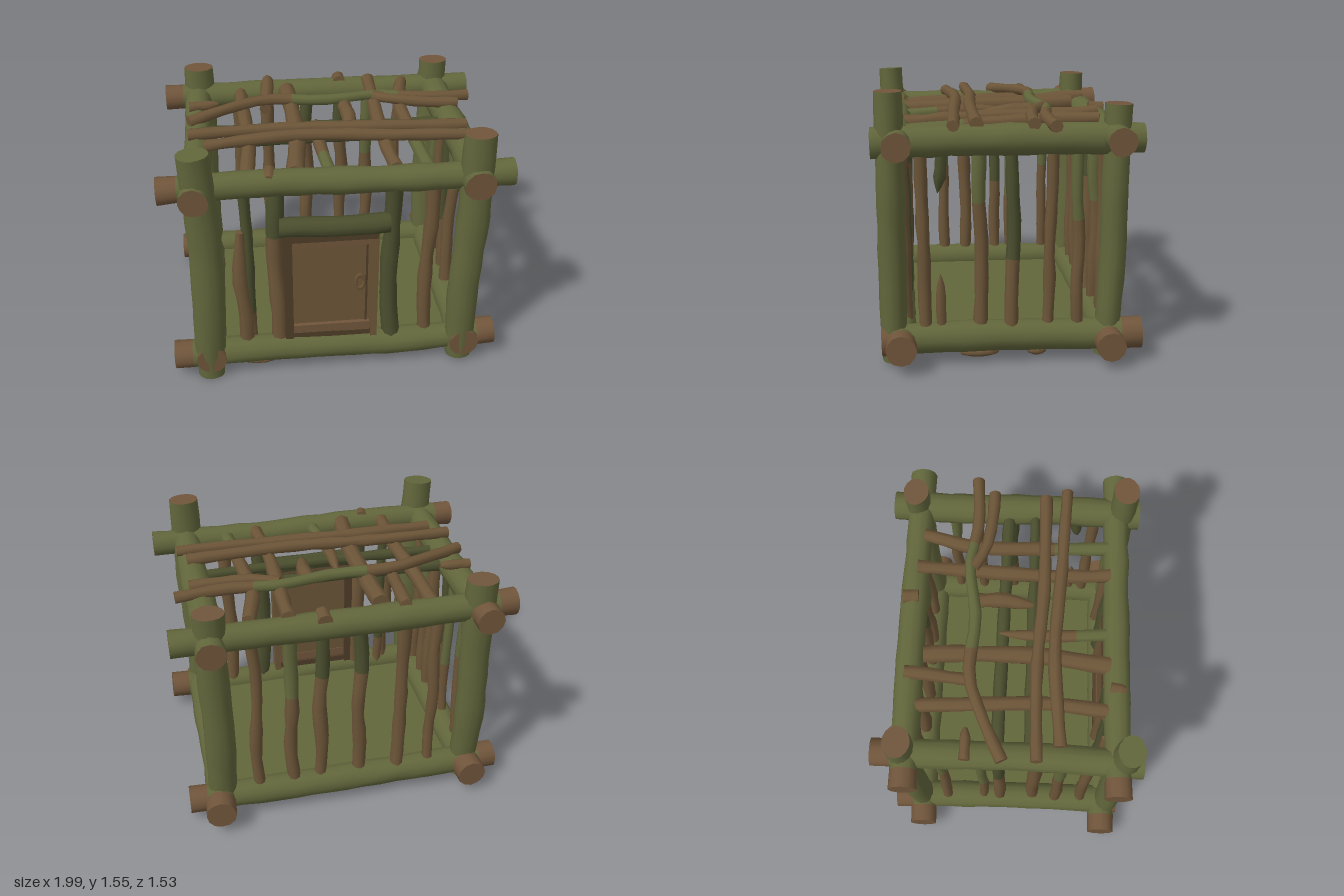
import * as THREE from 'three';

const paint = (name, color) => Object.assign(new THREE.MeshStandardMaterial({ color }), { name });

export function createModel() {
  const root = new THREE.Group();
  root.name = 'logCage';
  const green = paint('mossyBark', 0x62663b);
  const dark = paint('darkMoss', 0x4b4f2e);
  const brown = paint('bareWood', 0x6c5538);
  const cut = paint('cutWood', 0x70553b);
  const shade = paint('darkWood', 0x4f3d28);

  let seed = 7;
  const rnd = () => {
    seed = (seed * 16807) % 2147483647;
    return seed / 2147483647 - 0.5;
  };

  // A knobbly round stick along a curve. It changes from material a to b at the fraction "split";
  // "bare" counts the segments stripped of bark at its start and end; "flat" narrows it in z;
  // "startCap" picks which of the three materials closes its start.
  function stick(name, points, r, o = {}) {
    const { a = green, b = a, split = 1, cap = cut, sides = 10, rough = 0.12, tip = 1, tail = 1,
      bare = [0, 0], flat = 1, startCap = 2 } = o;
    const curve = new THREE.CatmullRomCurve3(points.map((p) => new THREE.Vector3(...p)));
    const n = Math.max(6, Math.round(curve.getLength() / 0.11));
    const frames = curve.computeFrenetFrames(n);
    const pos = [], lists = [[], [], []];
    const ring = (i, radii) => {
      const c = curve.getPointAt(i / n);
      for (let j = 0; j < sides; j++) {
        const t = (j / sides) * Math.PI * 2;
        const p = c.clone()
          .addScaledVector(frames.normals[i], Math.cos(t) * radii[j])
          .addScaledVector(frames.binormals[i], Math.sin(t) * radii[j]);
        pos.push(p.x, p.y, c.z + (p.z - c.z) * flat);
      }
      return c;
    };
    let first, last;
    for (let i = 0; i <= n; i++) {
      const u = i / n;
      const ends = Math.min(1, tail + u * 4 * (1 - tail)) * Math.min(1, tip + (1 - u) * 4 * (1 - tip));
      const swell = 1 + rnd() * rough;
      const radii = Array.from({ length: sides }, () => r * ends * (swell + rnd() * rough * 0.7));
      if (i === 0) first = radii;
      last = radii;
      ring(i, radii);
    }
    for (let i = 0; i < n; i++) {
      const stripped = i < bare[0] || i >= n - bare[1];
      const list = lists[stripped ? 2 : (i + 0.5) / n < split ? 0 : 1];
      for (let j = 0; j < sides; j++) {
        const k = (j + 1) % sides, p = i * sides, q = p + sides;
        list.push(p + j, p + k, q + j, p + k, q + k, q + j);
      }
    }
    // Cut ends keep their own vertices so the rim stays sharp
    [[0, first, lists[startCap]], [n, last, lists[2]]].forEach(([i, radii, list]) => {
      const s = pos.length / 3;
      const c = ring(i, radii);
      pos.push(c.x, c.y, c.z);
      for (let j = 0; j < sides; j++) {
        const k = (j + 1) % sides;
        list.push(s + sides, s + (i ? j : k), s + (i ? k : j));
      }
    });
    const g = new THREE.BufferGeometry();
    g.setAttribute('position', new THREE.Float32BufferAttribute(pos, 3));
    g.setIndex(lists.flat());
    let start = 0;
    lists.forEach((l, m) => {
      g.addGroup(start, l.length, m);
      start += l.length;
    });
    g.computeVertexNormals();
    const mesh = new THREE.Mesh(g, [a, b, cap]);
    mesh.name = name;
    root.add(mesh);
  }

  function box(name, w, h, d, x, y, z, mat) {
    const m = new THREE.Mesh(new THREE.BoxGeometry(w, h, d), mat);
    m.position.set(x, y, z);
    m.name = name;
    root.add(m);
  }

  // Corner posts, wider than deep
  const post = { sides: 14, rough: 0.08, flat: 0.84, tail: 0.88, startCap: 0 };
  stick('frontLeftPost', [[0.755, 0.03, 0.65], [0.75, 0.5, 0.65], [0.77, 1, 0.65], [0.77, 1.56, 0.65]], 0.094, post);
  stick('frontRightPost', [[-0.78, 0.01, 0.65], [-0.765, 0.5, 0.66], [-0.76, 1, 0.65], [-0.79, 1.53, 0.67]], 0.094, { ...post, cap: green });
  stick('backLeftPost', [[0.77, 0.03, -0.56], [0.76, 0.6, -0.59], [0.77, 1, -0.59], [0.77, 1.48, -0.6]], 0.088, post);
  stick('backRightPost', [[-0.77, 0.05, -0.56], [-0.78, 0.6, -0.59], [-0.77, 1, -0.59], [-0.77, 1.49, -0.6]], 0.092, post);

  // Long beams across the front and back
  const beam = { sides: 12, rough: 0.09 };
  const bothBare = { ...beam, bare: [1, 1] };
  stick('topFrontBeam', [[-1, 1.29, 0.62], [-0.4, 1.3, 0.61], [0.3, 1.285, 0.61], [0.99, 1.29, 0.61]], 0.077, { ...beam, bare: [1, 0] });
  stick('topBackBeam', [[-0.99, 1.3, -0.57], [-0.3, 1.3, -0.58], [0.4, 1.3, -0.58], [0.99, 1.3, -0.58]], 0.08, { ...beam, bare: [1, 0] });
  stick('bottomFrontBeam', [[-0.99, 0.14, 0.62], [-0.4, 0.15, 0.62], [0.4, 0.13, 0.61], [0.97, 0.16, 0.61]], 0.083, bothBare);
  stick('bottomBackBeam', [[-0.97, 0.14, -0.56], [-0.3, 0.14, -0.57], [0.4, 0.14, -0.57], [0.97, 0.14, -0.56]], 0.083, bothBare);

  // Side beams
  stick('topLeftBeam', [[0.77, 1.28, 0.75], [0.78, 1.29, 0.2], [0.77, 1.29, -0.3], [0.78, 1.29, -0.74]], 0.088, beam);
  stick('topRightBeam', [[-0.8, 1.28, 0.76], [-0.78, 1.29, 0.2], [-0.78, 1.29, -0.3], [-0.78, 1.3, -0.76]], 0.083, { ...beam, bare: [0, 1] });
  stick('bottomLeftBeam', [[0.77, 0.15, 0.72], [0.77, 0.16, 0.2], [0.77, 0.15, -0.4], [0.8, 0.16, -0.76]], 0.088, bothBare);
  stick('bottomRightBeam', [[-0.77, 0.15, 0.72], [-0.77, 0.16, 0.2], [-0.77, 0.15, -0.4], [-0.78, 0.15, -0.74]], 0.088, bothBare);

  // Floor
  box('floor', 1.46, 0.04, 1.14, 0, 0.12, 0.02, green);

  // Upright bars: x, z, radius, bottom material, top material, split height
  const bars = {
    frontBar: [[-0.36, 0.59, 0.05, brown, dark, 0.72], [0.32, 0.6, 0.052, dark, dark, 1], [0.54, 0.59, 0.042, brown, brown, 1],
      [-0.52, 0.57, 0.034, brown, dark, 0.25]],
    backBar: [[-0.53, -0.57, 0.035, brown, brown, 1], [-0.34, -0.57, 0.04, brown, brown, 1], [-0.08, -0.57, 0.04, brown, dark, 0.75],
      [0.15, -0.57, 0.04, brown, dark, 0.75], [0.33, -0.57, 0.04, brown, green, 0.6], [0.54, -0.57, 0.036, brown, brown, 1]],
    leftBar: [[0.77, 0.48, 0.036, brown, brown, 1], [0.77, 0.16, 0.04, brown, green, 0.72], [0.77, -0.02, 0.038, brown, dark, 0.4],
      [0.77, -0.23, 0.034, brown, brown, 1], [0.77, -0.39, 0.034, brown, green, 0.62]],
    rightBar: [[-0.77, 0.48, 0.036, brown, brown, 1], [-0.77, 0.31, 0.038, brown, green, 0.62], [-0.77, 0.16, 0.04, brown, brown, 1],
      [-0.77, -0.05, 0.036, brown, dark, 0.5], [-0.77, -0.16, 0.03, brown, green, 0.45], [-0.77, -0.39, 0.035, brown, green, 0.6]],
  };
  for (const [name, list] of Object.entries(bars)) {
    for (const [x, z, r, a, b, split] of list) {
      const pts = [0.16, 0.45, 0.72, 0.98, 1.28].map((y) => [x + rnd() * 0.03, y, z + rnd() * 0.022]);
      stick(name, pts, r, { a, b, split, sides: 8, rough: 0.2 });
    }
  }

  // Broken bars
  const broken = { a: brown, sides: 7, rough: 0.2 };
  stick('brokenFrontBar', [[-0.55, 0.16, 0.6], [-0.55, 0.4, 0.61], [-0.575, 0.65, 0.6], [-0.56, 0.97, 0.58]], 0.042, { ...broken, tip: 0.6 });
  stick('brokenLowerBar', [[0.77, 0.18, 0.38], [0.77, 0.36, 0.385], [0.77, 0.53, 0.385]], 0.03, { ...broken, tip: 0.1 });
  stick('brokenUpperBar', [[0.77, 1, 0.395], [0.77, 1.1, 0.38], [0.77, 1.27, 0.37]], 0.034, { ...broken, a: dark, tail: 0.1 });

  // Lower roof sticks running front to back
  const roof = { a: brown, cap: brown, sides: 8, rough: 0.2 };
  stick('roofStick', [[-0.51, 1.32, -0.57], [-0.5, 1.34, -0.2], [-0.48, 1.34, 0.2], [-0.51, 1.32, 0.57]], 0.042, roof);
  stick('roofStick', [[-0.33, 1.38, -0.6], [-0.34, 1.37, -0.45], [-0.36, 1.35, -0.22]], 0.038, roof);
  stick('roofStick', [[-0.21, 1.35, -0.5], [-0.2, 1.35, -0.2], [-0.2, 1.34, 0.2], [-0.24, 1.32, 0.57]], 0.05, roof);
  stick('roofStick', [[-0.06, 1.33, -0.07], [-0.07, 1.33, 0.2], [-0.04, 1.31, 0.59]], 0.036, { ...roof, b: green, split: 0.75, tail: 0.3 });
  stick('roofStick', [[0.13, 1.36, -0.2], [0.14, 1.35, -0.05], [0.12, 1.33, 0.12]], 0.045, { ...roof, tip: 0.4 });
  stick('roofStick', [[0.33, 1.37, -0.57], [0.32, 1.35, -0.2], [0.31, 1.34, 0.2], [0.33, 1.32, 0.57]], 0.042, roof);
  stick('roofStick', [[0.55, 1.36, -0.54], [0.48, 1.35, -0.25], [0.49, 1.33, 0.1], [0.52, 1.3, 0.57]], 0.042, { ...roof, b: green, split: 0.72 });
  stick('roofStub', [[0.14, 1.36, -0.64], [0.14, 1.365, -0.55]], 0.043, { ...roof, rough: 0.05 });
  stick('roofStub', [[-0.38, 1.355, 0.57], [-0.39, 1.35, 0.66]], 0.035, { ...roof, rough: 0.05, tip: 0.6 });

  // Upper roof sticks running side to side
  stick('crossStick', [[-0.83, 1.38, -0.03], [-0.6, 1.4, -0.14], [-0.35, 1.41, -0.23], [0, 1.4, -0.21], [0.35, 1.4, -0.26], [0.6, 1.39, -0.22], [0.92, 1.38, -0.235]], 0.034,
    { ...roof, b: green, split: 0.4, bare: [0, 4] });
  stick('crossFork', [[0.32, 1.4, -0.24], [0.45, 1.4, -0.17], [0.62, 1.39, -0.14], [0.83, 1.38, -0.13]], 0.034, roof);
  stick('crossStub', [[-0.83, 1.38, -0.235], [-0.65, 1.39, -0.235]], 0.032, { ...roof, tip: 0.4 });
  stick('crossStick', [[-0.72, 1.29, -0.06], [0, 1.3, -0.05], [0.72, 1.29, -0.04]], 0.036, { ...roof, a: dark });
  stick('crossStick', [[-0.72, 1.3, 0.12], [0, 1.31, 0.12], [0.72, 1.3, 0.12]], 0.032, { ...roof, a: dark });
  stick('crossStick', [[-0.83, 1.39, 0.16], [-0.3, 1.4, 0.15], [0.2, 1.4, 0.18], [0.81, 1.38, 0.18]], 0.036, roof);
  stick('crossStick', [[-0.74, 1.38, 0.29], [-0.2, 1.4, 0.25], [0.3, 1.39, 0.28], [0.86, 1.38, 0.31]], 0.036, roof);

  // Door: panel, surround, rails and lintel log
  box('doorPanel', 0.5, 0.74, 0.03, -0.03, 0.58, 0.6, brown);
  box('doorJamb', 0.05, 0.78, 0.09, -0.295, 0.59, 0.605, shade);
  box('doorJamb', 0.04, 0.78, 0.09, 0.215, 0.59, 0.605, brown);
  box('doorHeader', 0.54, 0.07, 0.09, -0.04, 0.95, 0.605, shade);
  box('doorTopRail', 0.46, 0.045, 0.05, -0.04, 0.89, 0.61, cut);
  box('doorBottomRail', 0.46, 0.06, 0.06, -0.04, 0.28, 0.61, cut);
  box('doorSill', 0.54, 0.04, 0.08, -0.04, 0.235, 0.6, shade);
  box('doorEdge', 0.012, 0.55, 0.006, 0.17, 0.585, 0.618, shade);
  stick('lintel', [[-0.34, 1.02, 0.63], [-0.1, 1.015, 0.64], [0.1, 1.01, 0.64], [0.29, 1.01, 0.63]], 0.06, { a: dark, rough: 0.12 });

  // Door handle
  const handle = new THREE.Mesh(new THREE.TorusGeometry(0.026, 0.009, 6, 12), brown);
  handle.scale.y = 1.8;
  handle.position.set(0.13, 0.6, 0.622);
  handle.name = 'doorHandle';
  root.add(handle);

  // Bar ends poking out under the bottom beams
  [[0.77, 0.17, 0.05, 0.12], [0.77, -0.16, 0.05, 0.06], [-0.77, 0.17, 0.05, 0.08], [-0.77, -0.1, 0.05, 0.06], [-0.48, 0.61, 0.12, 0.05]].forEach(([x, z, rx, rz]) => {
    const knot = new THREE.Mesh(new THREE.SphereGeometry(1, 10, 6), brown);
    knot.scale.set(rx, 0.03, rz);
    knot.position.set(x, 0.065, z);
    knot.name = 'barEnd';
    root.add(knot);
  });

  return root;
}
